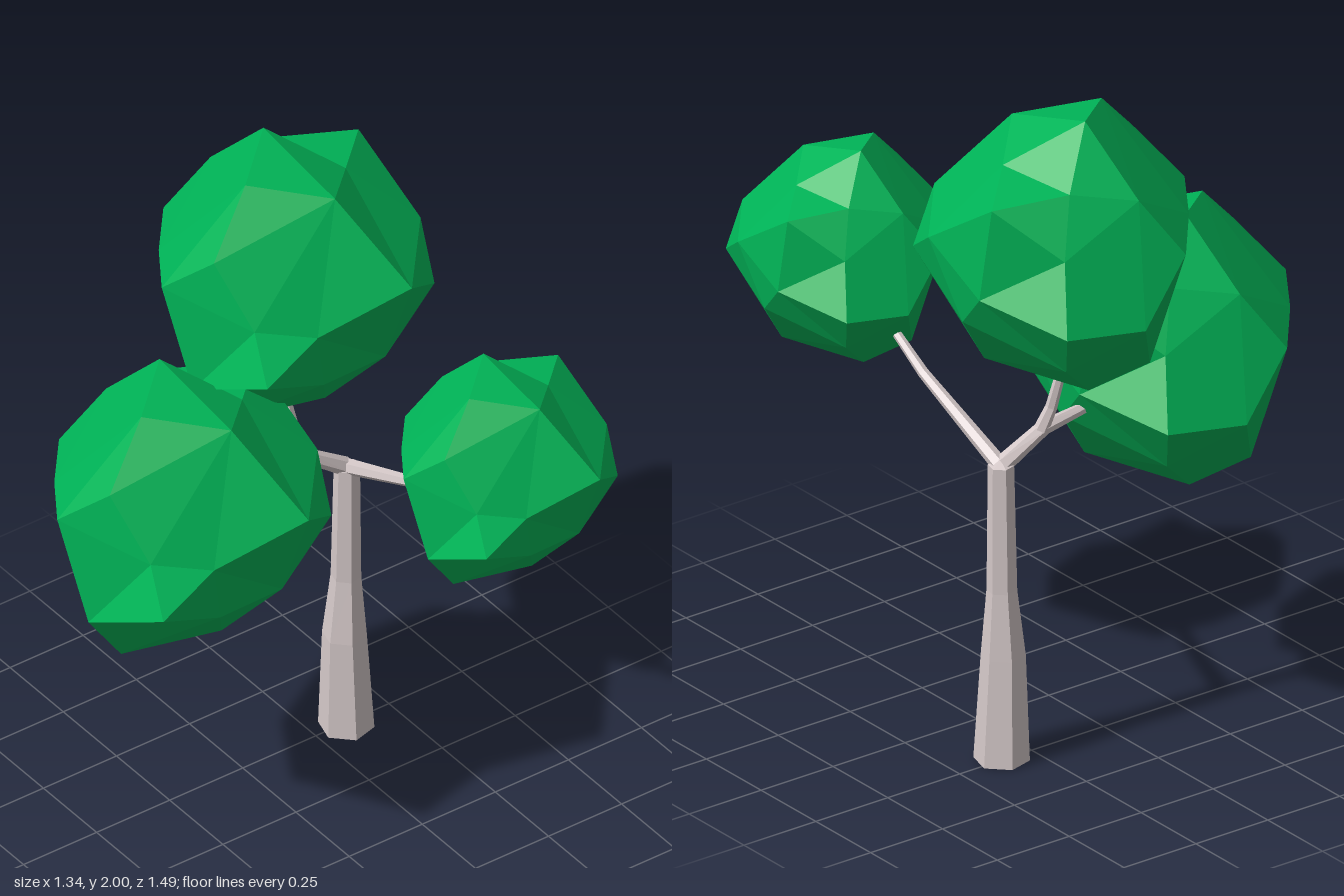
import * as THREE from 'three';
import { ConvexGeometry } from 'three/addons/geometries/ConvexGeometry.js';

const leafGreen = new THREE.MeshStandardMaterial({ name: 'leafGreen', color: 0x00b457, flatShading: true });
const paleBark = new THREE.MeshStandardMaterial({
  name: 'paleBark', color: 0xd4c8c8, flatShading: true, side: THREE.DoubleSide,
});

const V = (x, y, z) => new THREE.Vector3(x, y, z);

// Corners of the faceted leaf clump, relative to its centre
const CLUMP = [
  // crown
  [0.02, 0.41, -0.1], [-0.15, 0.376, 0.048], [0.05, 0.33, 0.195], [0.2, 0.275, 0.04], [0.15, 0.26, -0.2],
  // upper ring
  [-0.31, 0.22, 0.12], [-0.03, 0.22, -0.28], [0.36, 0.24, -0.12], [0.22, 0.1, -0.27],
  // middle ring
  [-0.39, 0.09, -0.015], [-0.32, -0.05, 0.385], [-0.265, 0.04, 0.25], [-0.1, -0.01, 0.32], [0.175, 0.08, 0.385],
  [0.325, -0.03, 0.285], [0.39, 0.074, 0.13], [0.28, -0.09, -0.36], [0.03, -0.12, -0.39], [-0.28, 0.07, -0.18],
  [-0.14, 0.05, -0.35], [0.38, -0.04, -0.09],
  // lower ring
  [-0.353, -0.223, 0.08], [0.355, -0.154, 0.02], [0.2, -0.25, -0.25], [-0.14, -0.345, -0.185],
  [-0.065, -0.2, 0.3], [0.15, -0.2, 0.295],
  // underside
  [-0.22, -0.41, 0.05], [0.038, -0.395, -0.14], [0.234, -0.323, 0.08], [0.02, -0.35, 0.19],
].map((p) => V(...p));

// Triangulate the corners as directions on a sphere, then push each to its own radius
function clumpGeometry() {
  const dirs = CLUMP.map((p) => p.clone().normalize());
  const geo = new ConvexGeometry(dirs);
  const pos = geo.attributes.position;
  const v = V(0, 0, 0);
  for (let i = 0; i < pos.count; i++) {
    v.fromBufferAttribute(pos, i);
    let best = 0;
    dirs.forEach((d, k) => { if (d.dot(v) > dirs[best].dot(v)) best = k; });
    pos.setXYZ(i, ...CLUMP[best].toArray());
  }
  geo.computeVertexNormals();
  return geo;
}

// Open six-sided limb: rings of given radius along a list of [x, y, z, radius]
function limb(name, stops) {
  const sides = 6;
  const pts = stops.map((s) => V(s[0], s[1], s[2]));
  const verts = [], index = [];
  pts.forEach((p, i) => {
    const dir = pts[Math.min(i + 1, pts.length - 1)].clone().sub(pts[Math.max(i - 1, 0)]).normalize();
    if (p.y === 0) dir.set(0, 1, 0); // keep the foot flat on the ground
    const q = new THREE.Quaternion().setFromUnitVectors(V(0, 1, 0), dir);
    for (let k = 0; k < sides; k++) {
      const a = (k / sides) * Math.PI * 2 + Math.PI / 4;
      const r = stops[i][3];
      verts.push(...V(Math.sin(a) * r, 0, Math.cos(a) * r).applyQuaternion(q).add(p).toArray());
    }
  });
  for (let i = 0; i < pts.length - 1; i++) {
    for (let k = 0; k < sides; k++) {
      const a = i * sides + k, b = i * sides + ((k + 1) % sides);
      index.push(a, b, b + sides, a, b + sides, a + sides);
    }
  }
  const geo = new THREE.BufferGeometry();
  geo.setAttribute('position', new THREE.Float32BufferAttribute(verts, 3));
  geo.setIndex(index);
  geo.computeVertexNormals();
  const mesh = new THREE.Mesh(geo, paleBark);
  mesh.name = name;
  return mesh;
}

export function createModel() {
  const tree = new THREE.Group();
  tree.name = 'tree';

  // Trunk, flared at the foot and closed to a point at the fork
  tree.add(limb('trunk', [
    [0.349, 0, -0.243, 0.079], [0.343, 0.32, -0.243, 0.063], [0.348, 0.52, -0.243, 0.043],
    [0.349, 0.9, -0.24, 0.037], [0.349, 0.915, -0.24, 0],
  ]));

  // Branches: one forward, one sideways that forks in two
  tree.add(limb('frontBranch', [
    [0.35, 0.9, -0.235, 0.024], [0.352, 1.05, 0.11, 0.016], [0.36, 1.16, 0.27, 0.012],
  ]));
  tree.add(limb('sideBranch', [
    [0.345, 0.9, -0.24, 0.027], [0.215, 0.985, -0.26, 0.022], [0.06, 1.0, -0.25, 0.016],
  ]));
  tree.add(limb('upperBranch', [
    [0.225, 0.98, -0.26, 0.022], [0.2, 1.05, -0.275, 0.017], [0.18, 1.22, -0.315, 0.013],
  ]));

  // Leaf clumps share one shape
  const geo = clumpGeometry();
  for (const [name, x, y, z, s] of [
    ['topLeaves', 0.2, 1.59, -0.355, 1],
    ['rightLeaves', -0.277, 1.1, -0.188, 1.005],
    ['frontLeaves', 0.364, 1.322, 0.438, 0.785],
  ]) {
    const leaves = new THREE.Mesh(geo, leafGreen);
    leaves.name = name;
    leaves.position.set(x, y, z);
    leaves.scale.setScalar(s);
    tree.add(leaves);
  }
  return tree;
}
